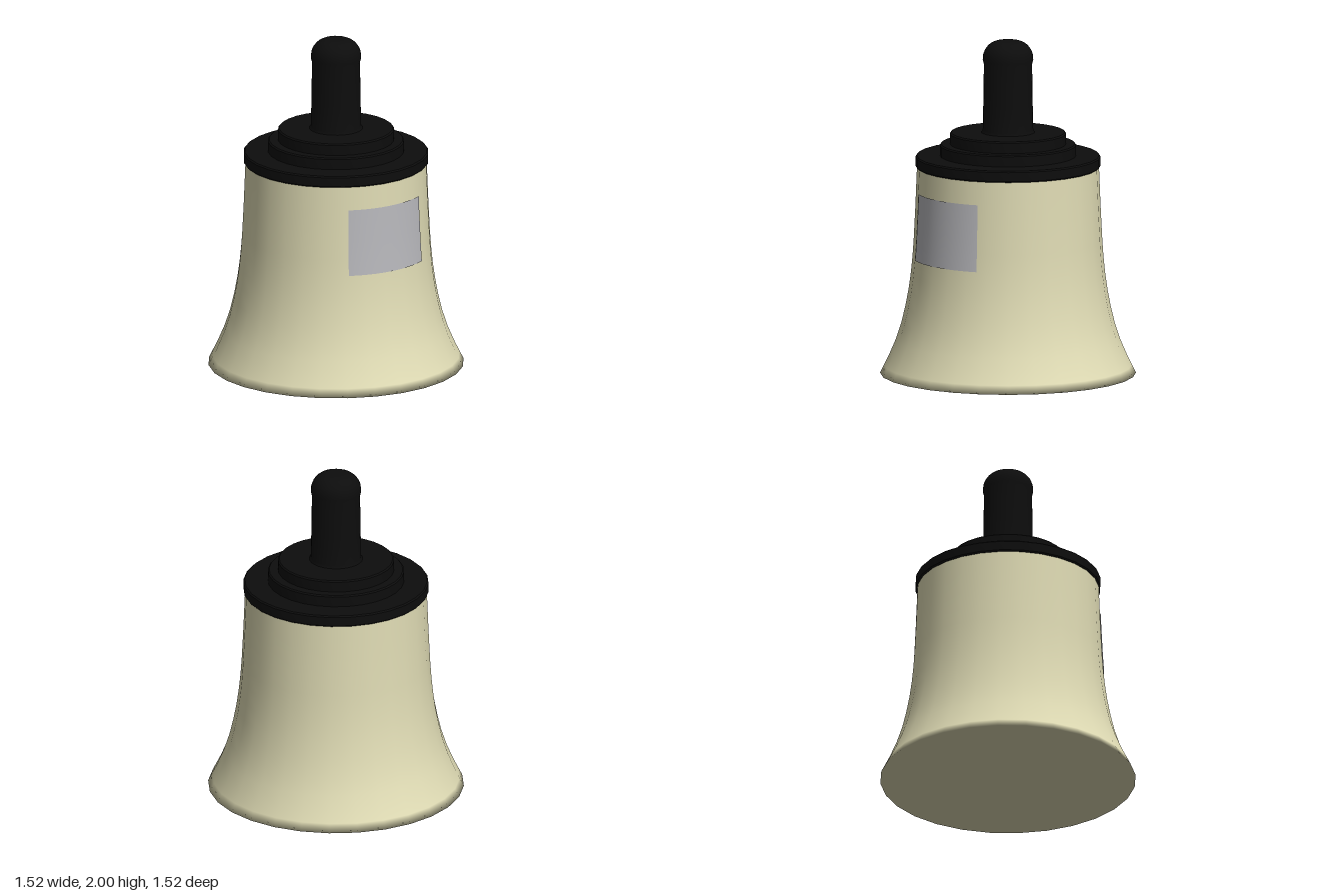
import * as THREE from 'three';
import { toCreasedNormals } from 'three/addons/utils/BufferGeometryUtils.js';

const SIDES = 28;
const vec = (pts) => pts.map(([r, y]) => new THREE.Vector2(r, y));

// Flared side of the bell, from the rim up
const BELL = vec([
  [0.735, 0.05], [0.71, 0.1], [0.667, 0.2], [0.634, 0.3], [0.61, 0.4], [0.591, 0.5],
  [0.577, 0.6], [0.567, 0.7], [0.56, 0.8], [0.55, 1.0], [0.544, 1.15], [0.54, 1.25],
]);

export function createModel() {
  const model = new THREE.Group();
  const cream = new THREE.MeshStandardMaterial({ color: 0xdfdbb4 });
  const black = new THREE.MeshStandardMaterial({ color: 0x0d0d0d });
  const grey = new THREE.MeshStandardMaterial({ color: 0xb8b8bc, side: THREE.DoubleSide });

  const add = (name, geometry, material) => {
    const mesh = new THREE.Mesh(geometry, material);
    mesh.name = name;
    model.add(mesh);
  };

  // Bell body with a closed base, softly shaded over the rim
  add('bellBody', new THREE.LatheGeometry([...vec([[0, 0], [0.76, 0]]), ...BELL], SIDES), cream);

  // Stepped collar: three discs with slightly softened edges
  const b = 0.008;
  [[0.55, 1.24, 1.31], [0.405, 1.3, 1.38], [0.345, 1.37, 1.45]].forEach(([r, y0, y1], i) => {
    const profile = vec([[0, y0], [r - b, y0], [r, y0 + b], [r, y1 - b], [r - b, y1], [0, y1]]);
    add(`collarDisc${i + 1}`, toCreasedNormals(new THREE.LatheGeometry(profile, SIDES), 0.6), black);
  });

  // Handle with a small foot and a rounded top
  const handle = vec([[0.162, 1.445], [0.15, 1.465], [0.147, 1.6], [0.143, 1.86], [0.15, 1.885]]);
  for (let i = 1; i <= 6; i++) {
    const a = (i / 6) * Math.PI / 2;
    handle.push(new THREE.Vector2(0.05 + 0.1 * Math.cos(a), 1.895 + 0.105 * Math.sin(a)));
  }
  handle.push(new THREE.Vector2(0, 2));
  add('handle', new THREE.LatheGeometry(handle, SIDES), black);

  // Label wrapped around the front of the bell, just off its surface
  const label = vec([[0.571, 0.7], [0.564, 0.8], [0.559, 0.9], [0.554, 1.0], [0.55, 1.1]]);
  const start = -0.41;
  add('label', new THREE.LatheGeometry(label, 10, start, 0.56 - start), grey);

  return model;
}
